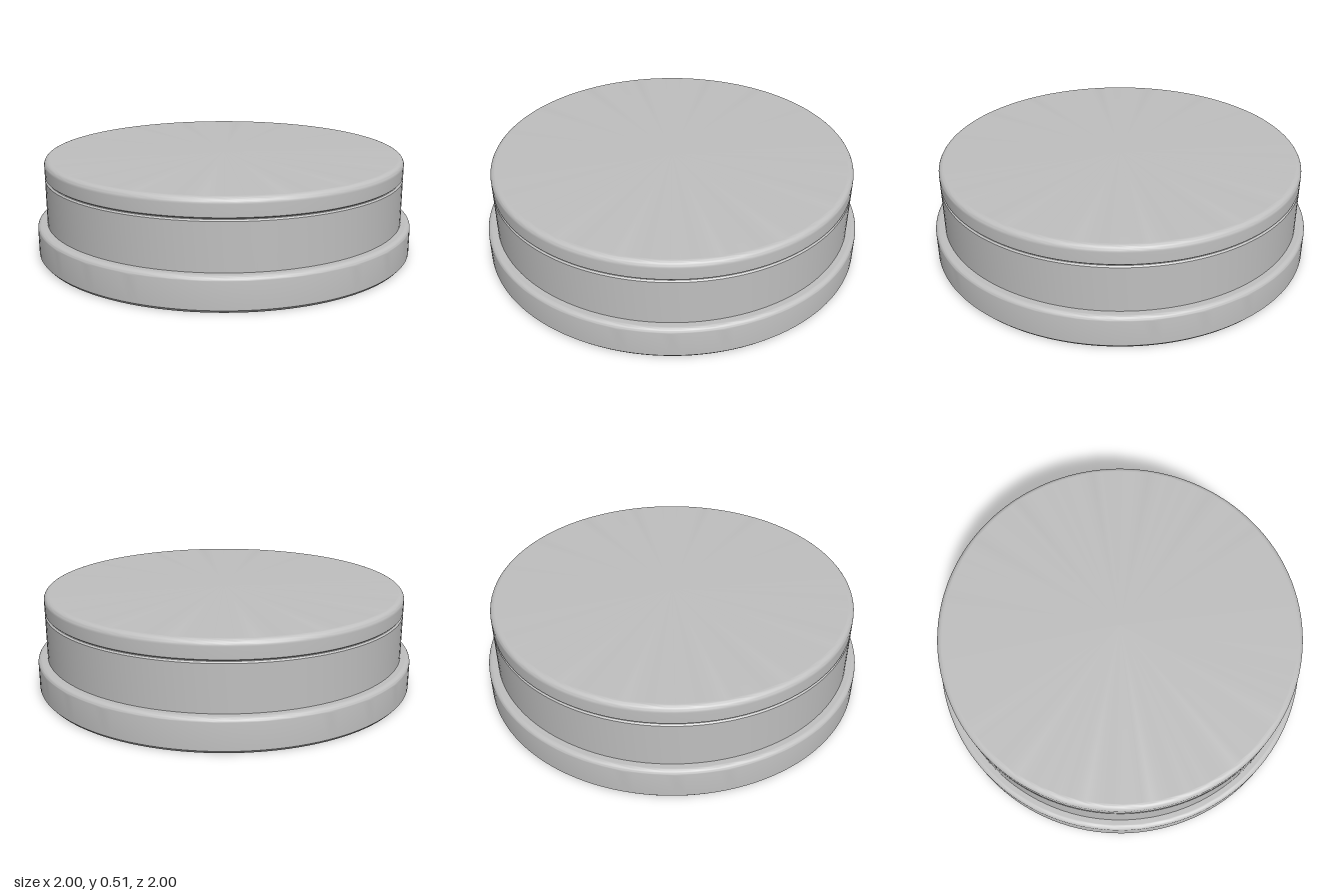
import * as THREE from 'three';
import { toCreasedNormals } from 'three/addons/utils/BufferGeometryUtils.js';

const SEGMENTS = 128;

// Rounded upper rim, with tight support points so flat areas shade flat
function roundedRim(radius, top, fillet) {
  const pts = [[radius, top - fillet - 0.002]];
  for (let i = 0; i <= 8; i++) {
    const a = (i / 8) * Math.PI / 2;
    pts.push([radius - fillet + fillet * Math.cos(a), top - fillet + fillet * Math.sin(a)]);
  }
  pts.push([radius - fillet - 0.002, top]);
  return pts;
}

function turned(name, profile, material) {
  const points = profile.map(([x, y]) => new THREE.Vector2(x, y));
  const geometry = toCreasedNormals(new THREE.LatheGeometry(points, SEGMENTS), Math.PI / 7);
  const mesh = new THREE.Mesh(geometry, material);
  mesh.name = name;
  return mesh;
}

export function createModel() {
  const group = new THREE.Group();
  group.name = 'roundContainer';
  const grey = new THREE.MeshStandardMaterial({ color: 0xc0c0c0 });
  grey.name = 'light grey';

  // Wide base with chamfered foot and rounded shoulder
  group.add(turned('base', [
    [0, 0], [0.988, 0], [1, 0.014], ...roundedRim(1, 0.17, 0.025), [0.94, 0.17],
  ], grey));

  // Straight drum wall with a bevelled top edge
  group.add(turned('body', [
    [0.95, 0.165], [0.95, 0.404], [0.942, 0.411], [0.932, 0.411],
  ], grey));

  // Recessed ring between body and lid
  group.add(turned('groove', [[0.935, 0.405], [0.935, 0.422]], grey));

  // Lid with bevelled underside and rounded top rim
  group.add(turned('lid', [
    [0.932, 0.414], [0.942, 0.414], [0.95, 0.421], ...roundedRim(0.95, 0.51, 0.03), [0, 0.51],
  ], grey));

  return group;
}
